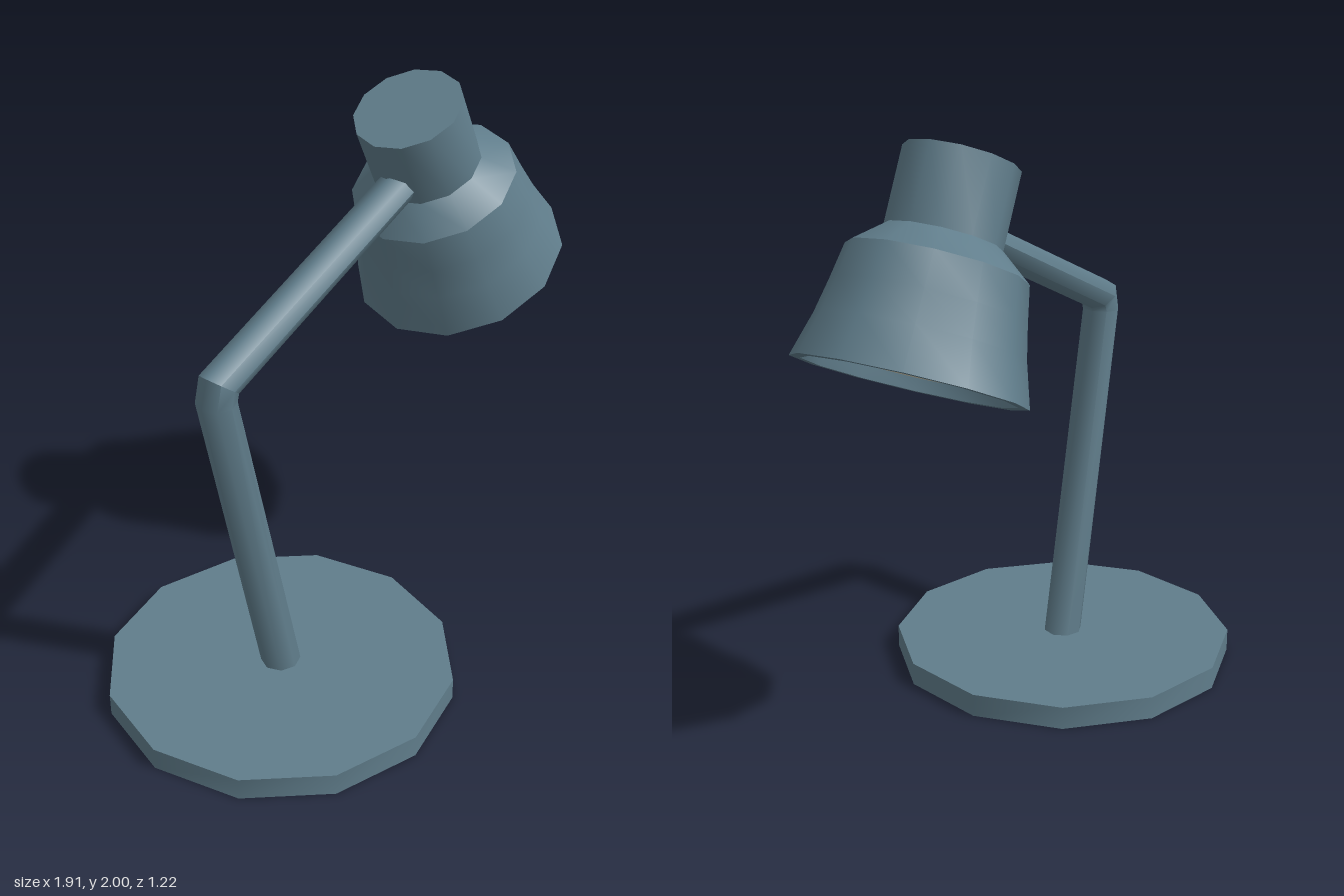
import * as THREE from 'three';
import { toCreasedNormals } from 'three/addons/utils/BufferGeometryUtils.js';

const SIDES = 12;
const CREASE = 0.7;

// Sweeps an eight-sided ring along outline pairs [outerX, outerY, innerX, innerY].
function sweepArm(rings, zRadius) {
  const n = 8, pos = [], index = [];
  for (const [ox, oy, ix, iy] of rings) {
    for (let i = 0; i < n; i++) {
      const a = (i / n) * Math.PI * 2, c = Math.cos(a);
      pos.push((ox + ix) / 2 + ((ox - ix) / 2) * c, (oy + iy) / 2 + ((oy - iy) / 2) * c, zRadius * Math.sin(a));
    }
  }
  for (let r = 0; r < rings.length - 1; r++) {
    for (let i = 0; i < n; i++) {
      const a = r * n + i, b = r * n + ((i + 1) % n);
      index.push(a, b, b + n, a, b + n, a + n);
    }
  }
  const g = new THREE.BufferGeometry();
  g.setAttribute('position', new THREE.Float32BufferAttribute(pos, 3));
  g.setIndex(index);
  return toCreasedNormals(g, 0.85);
}

export function createModel() {
  const paint = new THREE.MeshStandardMaterial({ color: 0x607d8b });
  paint.name = 'blueGreyPaint';
  const cream = new THREE.MeshStandardMaterial({ color: 0xd9d2ba });
  cream.name = 'creamLight';

  const lamp = new THREE.Group();
  lamp.name = 'deskLamp';
  const add = (parent, name, geometry, material) => {
    const mesh = new THREE.Mesh(geometry, material);
    mesh.name = name;
    parent.add(mesh);
    return mesh;
  };

  // Round foot
  const foot = new THREE.CylinderGeometry(0.61, 0.61, 0.08, SIDES);
  add(lamp, 'base', toCreasedNormals(foot, CREASE), paint).position.set(-0.35, 0.04, 0);

  // Bent arm with a bevelled elbow, ending inside the shade
  add(lamp, 'arm', sweepArm([
    [-0.412, 0.04, -0.272, 0.04],
    [-0.665, 1.245, -0.54, 1.25],
    [-0.64, 1.345, -0.535, 1.262],
    [0.27, 1.742, 0.32, 1.645],
  ], 0.068), paint);

  // Tilted head: local origin at the centre of the opening
  const head = new THREE.Group();
  head.name = 'head';
  head.position.set(0.615, 1.29, -0.015);
  head.rotation.z = 0.442;
  lamp.add(head);

  // Inner lip, rim, flared bell, shoulder and neck
  const profile = [
    [0.328, 0.05], [0.335, 0], [0.37, 0], [0.328, 0.143], [0.306, 0.25],
    [0.285, 0.368], [0.185, 0.449], [0.185, 0.697], [0, 0.697],
  ].map(([r, y]) => new THREE.Vector2(r, y));
  add(head, 'shade', toCreasedNormals(new THREE.LatheGeometry(profile, SIDES), CREASE), paint);

  // Recessed light panel
  const panel = add(head, 'lightPanel', new THREE.CircleGeometry(0.329, SIDES), cream);
  panel.rotation.x = Math.PI / 2;
  panel.position.y = 0.042;

  return lamp;
}
